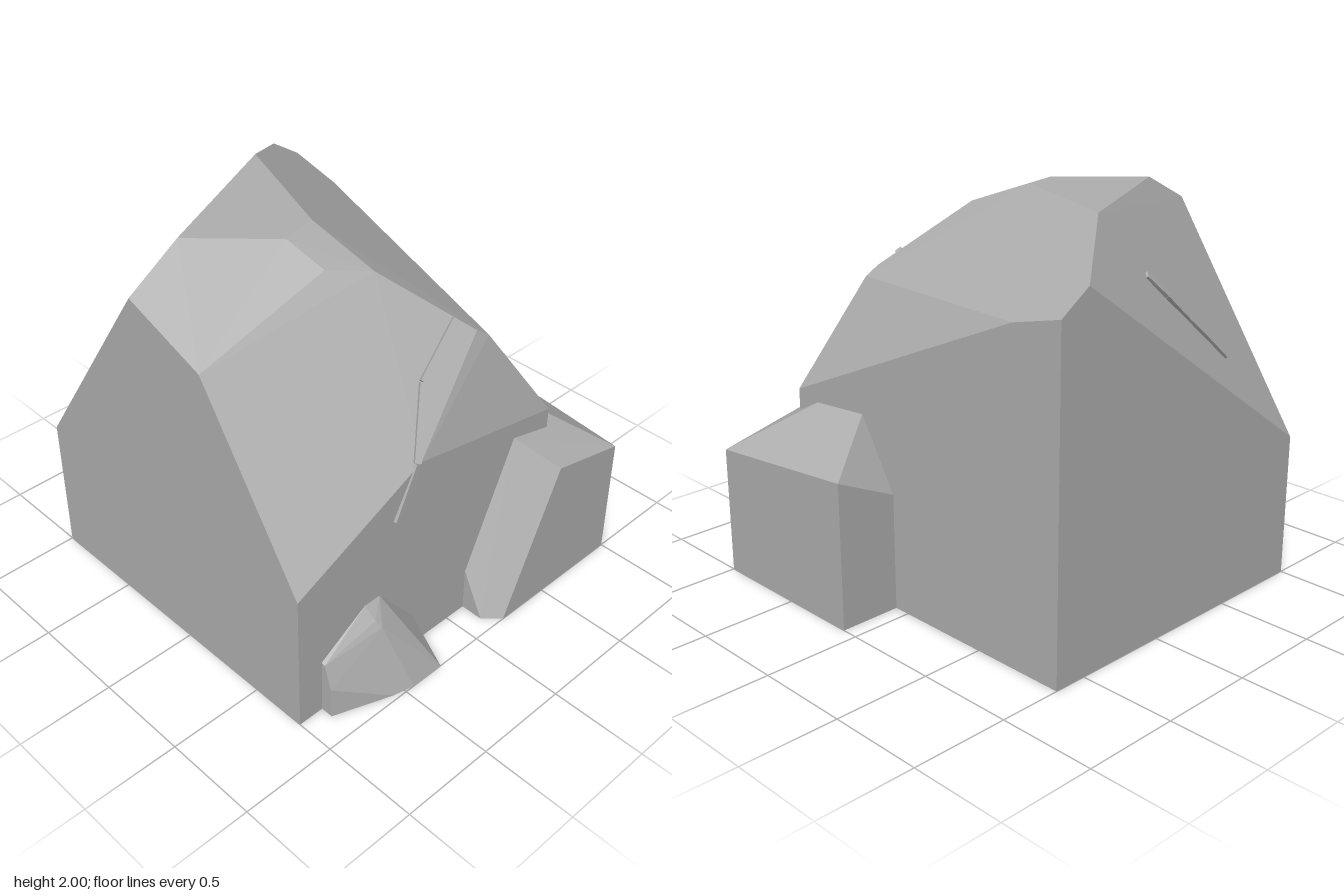
import * as THREE from 'three';
import { ConvexGeometry } from 'three/addons/geometries/ConvexGeometry.js';

const stone = new THREE.MeshStandardMaterial({ color: 0xb0b0b0, flatShading: true });
stone.name = 'grey stone';

const v = (p) => new THREE.Vector3(...p);

// Faceted boulder: the convex hull of its corners
function boulder(name, corners) {
  const mesh = new THREE.Mesh(new ConvexGeometry(corners.map(v)), stone);
  mesh.name = name;
  return mesh;
}

// Raised vein: bars laid end to end along a path on a sloping face
function vein(name, path, normals, width, depth) {
  const group = new THREE.Group();
  group.name = name;
  for (let i = 0; i < path.length - 1; i++) {
    const a = v(path[i]), b = v(path[i + 1]);
    const along = b.clone().sub(a);
    const length = along.length();
    along.normalize();
    const across = along.clone().cross(v(normals[i])).normalize();
    const out = across.clone().cross(along);
    const bar = new THREE.Mesh(new THREE.BoxGeometry(width, length, depth), stone);
    bar.name = name + 'Bar';
    bar.quaternion.setFromRotationMatrix(new THREE.Matrix4().makeBasis(across, along, out));
    bar.position.copy(a).add(b).multiplyScalar(0.5);
    group.add(bar);
  }
  return group;
}

export function createModel() {
  const model = new THREE.Group();
  model.name = 'rockCluster';

  model.add(boulder('mainRock', [
    // base
    [-1, 0, -1], [0.675, 0, -1], [0.675, 0, 0.8], [-1, 0, 0.8],
    // flat crown
    [-0.68, 2, -0.3], [0.11, 2, -0.68], [-0.14, 2, -0.01], [-0.34, 2, 0.04],
    // front shoulder and ridge
    [-0.31, 1.92, 0.25], [-0.1, 1.87, 0.35], [0.25, 1.55, 0.665], [0.32, 1.5, 0.68],
    // rim of the front wall
    [-1, 0.77, 0.8], [-0.24, 1.13, 0.8], [0.675, 0.96, 0.8],
    // rims of the side and back walls
    [-1, 1.68, 0.21], [-1, 1.85, -0.25], [-1, 0.745, -1],
    [0.51, 1.81, -1], [0.675, 1.7, -1], [0.675, 1.63, -0.72],
  ]));

  model.add(boulder('sideRock', [
    // base
    [0.12, 0, 0.7], [0.12, 0, 0.92], [0.2, 0, 1], [1, 0, 1], [1, 0, 0.085], [0.6, 0, 0.085],
    // left chamfer
    [0.12, 0.25, 0.795], [0.42, 0.915, 0.8], [0.55, 0.77, 1],
    // top
    [1, 0.665, 1], [1, 0.755, 0.085],
    [0.675, 0.925, 0.65], [0.675, 0.955, 0.3], [0.67, 0.6, 0.085],
  ]));

  model.add(boulder('smallRock', [
    // base
    [-0.86, 0, 0.7], [-0.86, 0, 0.865], [-0.56, 0, 0.975], [-0.45, 0, 1], [-0.26, 0, 1], [-0.26, 0, 0.7],
    // upper corners
    [-0.86, 0.17, 0.86], [-0.86, 0.3, 0.82], [-0.86, 0.31, 0.79],
    [-0.585, 0.48, 0.8], [-0.49, 0.48, 0.8],
    [-0.57, 0.41, 0.855], [-0.55, 0.37, 0.88], [-0.26, 0.2, 0.8],
  ]));

  const slope = [-0.29, 0.65, 1];
  model.add(vein('frontVein',
    [[0.17, 1.615, 0.6], [-0.09, 1.42, 0.65], [-0.26, 1.13, 0.79], [-0.395, 0.875, 0.8]],
    [slope, slope, [0, 0, 1]], 0.035, 0.035));

  const backSlope = [-0.705, 1, -1.473];
  model.add(vein('backVein',
    [[-0.61, 1.225, -0.86], [-0.48, 1.35, -0.84], [-0.36, 1.46, -0.82], [-0.22, 1.59, -0.805], [-0.1, 1.7, -0.78]],
    Array(4).fill(backSlope), 0.035, 0.03));

  return model;
}
